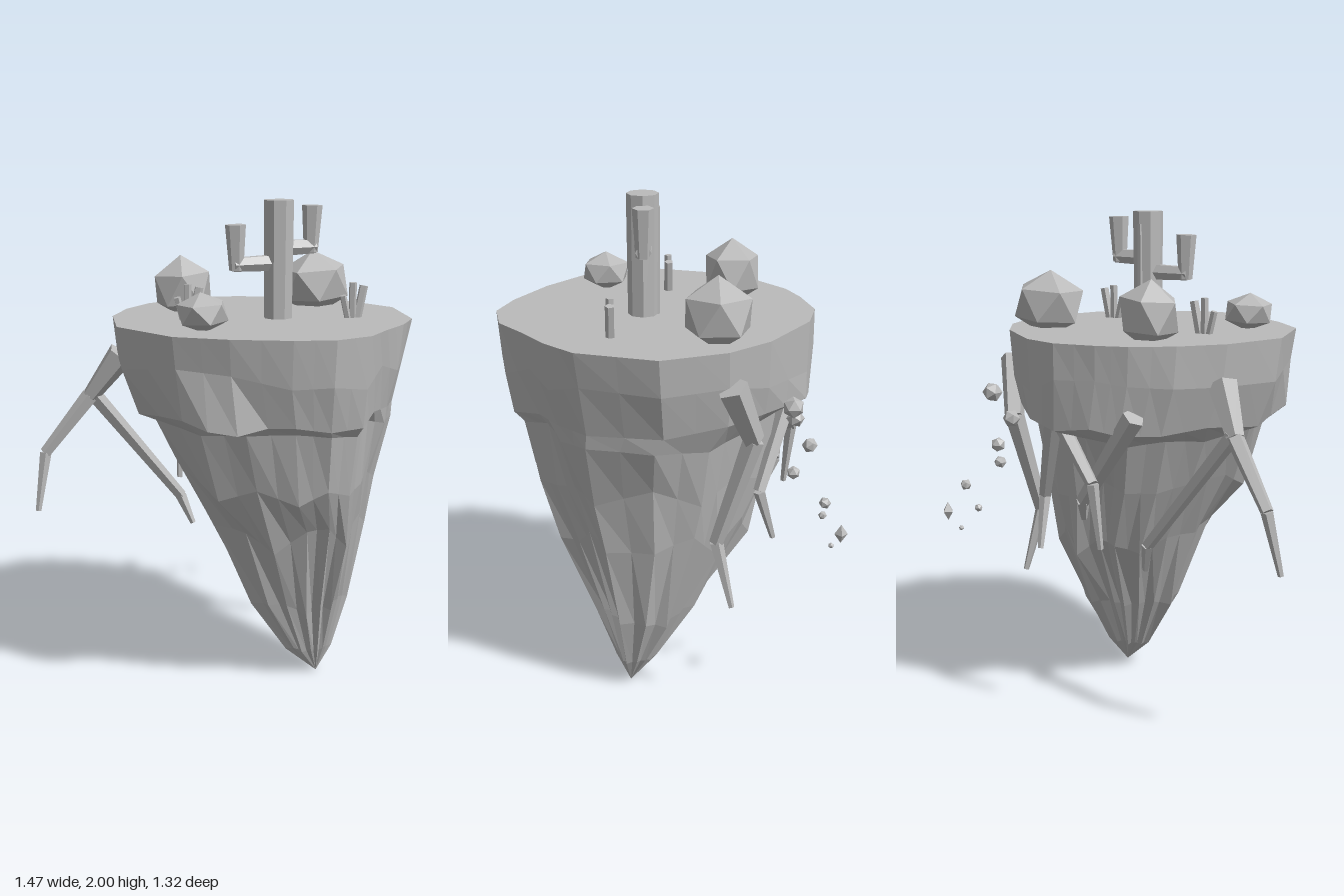
import * as THREE from 'three';

const stone = new THREE.MeshStandardMaterial({ color: 0xbababa });
stone.name = 'stone grey';

// Facet a geometry and wrap it in a named mesh
function part(name, geometry, parent) {
  const g = geometry.index ? geometry.toNonIndexed() : geometry;
  g.computeVertexNormals();
  const mesh = new THREE.Mesh(g, stone);
  mesh.name = name;
  parent.add(mesh);
  return mesh;
}

// Tapered straight piece between two points
function limb(name, a, b, r0, r1, sides, parent) {
  const p = new THREE.Vector3(...a), q = new THREE.Vector3(...b);
  const d = q.clone().sub(p);
  const mesh = part(name, new THREE.CylinderGeometry(r1, r0, d.length(), sides), parent);
  mesh.position.copy(p).add(q).multiplyScalar(0.5);
  mesh.quaternion.setFromUnitVectors(new THREE.Vector3(0, 1, 0), d.normalize());
  return mesh;
}

function islandGeometry() {
  let seed = 11;
  const rand = () => ((seed = (seed * 16807) % 2147483647) / 2147483647) * 2 - 1;
  // Rim outline (x, z), from the front round by +x
  const rim = [[0.12, 0.655], [0.28, 0.63], [0.41, 0.53], [0.53, 0.45], [0.64, 0.34], [0.735, 0.04],
    [0.655, -0.21], [0.53, -0.37], [0.29, -0.54], [0.13, -0.58], [-0.04, -0.545], [-0.16, -0.5],
    [-0.3, -0.39], [-0.42, -0.23], [-0.5, 0.035], [-0.395, 0.335], [-0.23, 0.48], [-0.03, 0.6]];
  const outline = [];
  rim.forEach((p, i) => {
    const q = rim[(i + 1) % rim.length];
    outline.push(p, [(p[0] + q[0]) / 2, (p[1] + q[1]) / 2]);
  });
  // Rows: y, min x, max x, min z, max z, height jitter, width jitter, flute depth
  const rows = [
    [1.535, -0.5, 0.735, -0.58, 0.655, 0, 0, 0],
    [1.37, -0.475, 0.71, -0.575, 0.635, 0.04, 0.01, 0],
    [1.205, -0.4, 0.67, -0.565, 0.605, 0.035, 0.02, 0],
    [1.15, -0.35, 0.645, -0.46, 0.565, 0.03, 0.025, 0.01],
    [0.92, -0.25, 0.585, -0.4, 0.515, 0.06, 0.03, 0.01],
    [0.68, -0.1, 0.55, -0.325, 0.43, 0.06, 0.03, 0.035],
    [0.34, 0.05, 0.49, -0.12, 0.295, 0.03, 0.02, 0.1],
    [0.12, 0.2, 0.415, 0.04, 0.21, 0.01, 0.01, 0.09],
    [0, 0.335, 0.335, 0.15, 0.15, 0, 0, 0],
  ];
  // Crag jutting out under the rim: outline index to extra width on the third row
  const crag = { 29: 0.05, 30: 0.12, 31: 0.15, 32: 0.1 };
  const n = outline.length, verts = [], index = [];
  rows.forEach(([y, x0, x1, z0, z1, lift, spread, flute], r) => {
    const rough = rim.map(() => [rand() * spread, rand() * lift]);
    outline.forEach(([x, z], i) => {
      // Halfway columns follow their neighbours, so the facets stay broad
      const a = rough[i >> 1], b = rough[((i + 1) >> 1) % rim.length];
      const jut = r === 2 && crag[i] || 0;
      const k = 1 + (a[0] + b[0]) / 2 - (i % 2 ? flute : 0) + jut;
      verts.push((x0 + x1) / 2 + (x - 0.1175) / 0.6175 * (x1 - x0) / 2 * k,
        y + (a[1] + b[1]) / 2 - jut * 0.2,
        (z0 + z1) / 2 + (z - 0.0375) / 0.6175 * (z1 - z0) / 2 * k);
      if (r === rows.length - 1) return;
      const p = r * n + i, q = r * n + (i + 1) % n;
      if (r < rows.length - 2) index.push(p, p + n, q + n, p, q + n, q);
      else index.push(p, p + n, q);
    });
  });
  // Flat top
  const centre = verts.length / 3;
  verts.push(0.1175, 1.535, 0.0375);
  for (let i = 0; i < n; i++) index.push(centre, i, (i + 1) % n);
  const g = new THREE.BufferGeometry();
  g.setAttribute('position', new THREE.Float32BufferAttribute(verts, 3));
  g.setIndex(index);
  return g;
}

export function createModel() {
  const model = new THREE.Group();
  model.name = 'floatingIsland';
  part('island', islandGeometry(), model);

  // Hanging roots: point lists with the radius at each point
  const roots = new THREE.Group();
  roots.name = 'roots';
  model.add(roots);
  const paths = [
    [[-0.39, 1.38, -0.22, 0.06], [-0.5, 1.2, -0.3, 0.036], [-0.68, 0.96, -0.365, 0.025], [-0.728, 0.72, -0.34, 0.012]],
    [[-0.49, 1.21, -0.3, 0.033], [-0.1, 0.72, -0.3, 0.025], [-0.06, 0.6, -0.26, 0.012]],
    [[0.64, 1.4, -0.22, 0.06], [0.57, 1.17, -0.31, 0.042], [0.545, 0.74, -0.18, 0.028], [0.588, 0.48, -0.24, 0.012]],
    [[-0.17, 1.27, -0.48, 0.045], [0.11, 0.9, -0.44, 0.028], [0.13, 0.82, -0.41, 0.014]],
    [[0.21, 1.29, -0.45, 0.05], [0.22, 1.2, -0.48, 0.036], [0.37, 0.87, -0.36, 0.025], [0.35, 0.66, -0.42, 0.012]],
    [[0.21, 1.24, -0.47, 0.035], [0.0, 1.0, -0.52, 0.025], [-0.02, 0.74, -0.5, 0.012]],
  ];
  paths.forEach((path) => {
    for (let i = 0; i < path.length - 1; i++) {
      const p = path[i], q = path[i + 1];
      limb('root', p.slice(0, 3), q.slice(0, 3), p[3], q[3], 5, roots);
    }
  });

  // Cactus with two raised arms and a thin rib behind
  const cactus = new THREE.Group();
  cactus.name = 'cactus';
  model.add(cactus);
  limb('cactusTrunk', [0.168, 1.5, 0.087], [0.168, 2, 0.087], 0.058, 0.062, 8, cactus);
  limb('cactusRib', [0.168, 1.53, 0.032], [0.168, 1.95, 0.032], 0.012, 0.012, 5, cactus);
  for (const [dx, y, top] of [[-0.185, 1.755, 1.91], [0.145, 1.812, 1.975]]) {
    const x = 0.168 + dx;
    limb('cactusArm', [0.168, y, 0.087], [x + Math.sign(dx) * 0.015, y, 0.087], 0.036, 0.03, 6, cactus);
    limb('cactusForearm', [x, y - 0.022, 0.087], [x + Math.sign(dx) * 0.004, top, 0.087], 0.028, 0.041, 6, cactus);
  }

  // Boulders, one corner pointing up: position, half sizes, turn
  for (const [x, y, z, rx, ry, rz, turn] of [
    [0.48, 1.628, -0.18, 0.162, 0.138, 0.14, 0.3],
    [-0.092, 1.628, -0.273, 0.134, 0.135, 0.122, 0.9],
    [-0.228, 1.6, 0.235, 0.108, 0.078, 0.104, 0.5]]) {
    const shape = new THREE.IcosahedronGeometry(1, 0).rotateX(-1.0172).rotateY(turn).rotateZ(0.08);
    part('boulder', shape.scale(rx, ry, rz), model).position.set(x, y, z);
  }

  // Sprouts: three fanned stalks each
  for (const [x, z] of [[0.44, 0.21], [-0.18, -0.02]]) {
    for (const [lean, h, s] of [[-0.045, 0.09, 0.014], [0, 0.14, 0.016], [0.05, 0.125, 0.018]]) {
      limb('sprout', [x + lean * 0.4, 1.52, z], [x + lean, 1.535 + h, z], s, s, 5, model);
    }
  }

  // Floating fragments: position and radius
  [[0.555, 1.29, -0.455, 0.041], [0.435, 1.2, -0.48, 0.035], [0.46, 1.1, -0.535, 0.03],
    [0.51, 1.01, -0.47, 0.026], [0.6, 0.925, -0.58, 0.023], [0.53, 0.84, -0.585, 0.017],
    [0.605, 0.75, -0.61, 0.011]].forEach(([x, y, z, r], i) => {
    const bit = part('floatingFragment', new THREE.IcosahedronGeometry(r, 0), model);
    bit.position.set(x, y, z);
    bit.rotation.y = i;
  });
  const shard = part('floatingShard', new THREE.OctahedronGeometry(0.025, 0), model);
  shard.scale.y = 1.5;
  shard.position.set(0.648, 0.82, -0.638);
  return model;
}
